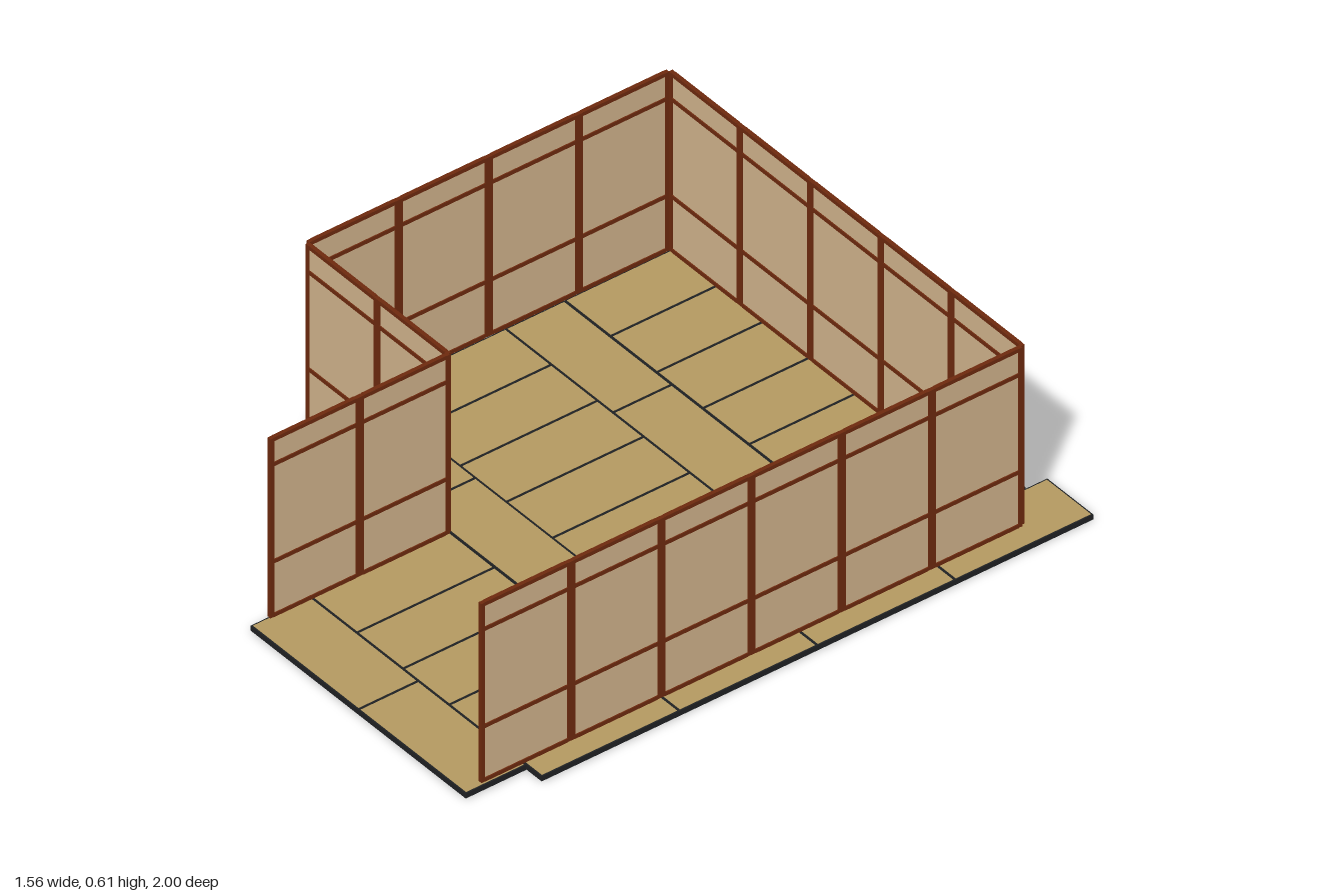
import * as THREE from 'three';

const mat = (name, color) => {
  const m = new THREE.MeshStandardMaterial({ color });
  m.name = name;
  return m;
};

export function createModel() {
  const straw = mat('woven straw', 0xb59a61);
  const binding = mat('dark binding', 0x1f2123);
  const wood = mat('red brown wood', 0x6e2a0e);
  const paper = mat('screen paper', 0xd2b48c);

  const room = new THREE.Group();
  room.name = 'room';

  const box = (parent, name, material, w, h, d, x, y, z) => {
    const mesh = new THREE.Mesh(new THREE.BoxGeometry(w, h, d), material);
    mesh.name = name;
    mesh.position.set(x, y, z);
    parent.add(mesh);
  };

  // Floor mats: dark bound core with straw faces above and below
  const LONG = 0.45, SHORT = 0.193, THICK = 0.018;
  const addMat = (x0, z0, w, d, y0) => {
    const g = new THREE.Group();
    g.name = 'floorMat';
    g.position.set(x0 + w / 2, y0, z0 + d / 2);
    box(g, 'matBinding', binding, w, THICK - 0.002, d, 0, THICK / 2, 0);
    box(g, 'matTop', straw, w - 0.009, 0.002, d - 0.009, 0, THICK - 0.001, 0);
    box(g, 'matUnderside', straw, w - 0.004, 0.002, d - 0.004, 0, 0.001, 0);
    room.add(g);
  };
  // Each row: count, first x, first z, step in x, step in z, mat width, mat depth, base height
  const rows = [
    [7, -0.77, -0.93, SHORT, 0, SHORT, LONG, 0.004],
    [3, -0.77, -0.48, LONG, 0, LONG, SHORT, 0.003],
    [7, -0.77, -0.288, SHORT, 0, SHORT, LONG, 0.003],
    [3, -0.77, 0.16, LONG, 0, LONG, SHORT, 0.003],
    [4, -0.188, 0.352, SHORT, 0, SHORT, LONG, 0],
    [2, -0.185, 0.803, LONG, 0, LONG, 0.197, 0.002],
    [4, 0.583, -1, 0, LONG, SHORT, LONG, 0],
  ];
  for (const [n, x, z, dx, dz, w, d, y] of rows)
    for (let i = 0; i < n; i++) addMat(x + i * dx, z + i * dz, w, d, y);

  // One screen: paper sheet in a frame with two cross rails, centred on its own x
  const BOTTOM = 0.024, TOP = 0.604, DEPTH = 0.012, POST = 0.012;
  const addScreen = (wall, x, w) => {
    const g = new THREE.Group();
    g.name = 'screen';
    g.position.x = x;
    const mid = (BOTTOM + TOP) / 2, h = TOP - BOTTOM;
    box(g, 'paperSheet', paper, w - POST, h - 0.01, 0.005, 0, mid, 0);
    for (const s of [-1, 1])
      box(g, 'post', wood, POST, h, DEPTH, s * (w - POST) / 2, mid, 0);
    for (const y of [BOTTOM + 0.005, 0.203, 0.518, TOP - 0.005])
      box(g, 'rail', wood, w - 2 * POST, 0.012, DEPTH, 0, y, 0);
    wall.add(g);
  };

  // Straight walls of equal screens between two floor points
  const addWall = (name, n, x0, z0, x1, z1) => {
    const wall = new THREE.Group();
    wall.name = name;
    wall.position.set((x0 + x1) / 2, 0, (z0 + z1) / 2);
    wall.rotation.y = Math.atan2(-(z1 - z0), x1 - x0);
    const w = Math.hypot(x1 - x0, z1 - z0) / n;
    for (let i = 0; i < n; i++) addScreen(wall, (i - (n - 1) / 2) * w, w);
    room.add(wall);
  };
  addWall('backWall', 5, -0.769, -0.826, 0.704, -0.826);
  addWall('rightWall', 4, -0.773, -0.82, -0.773, 0.355);
  addWall('frontWall', 2, -0.769, 0.359, -0.177, 0.359);
  addWall('entryWall', 2, -0.178, 0.36, -0.178, 0.945);
  addWall('leftWall', 6, 0.704, -0.82, 0.704, 0.945);

  return room;
}
